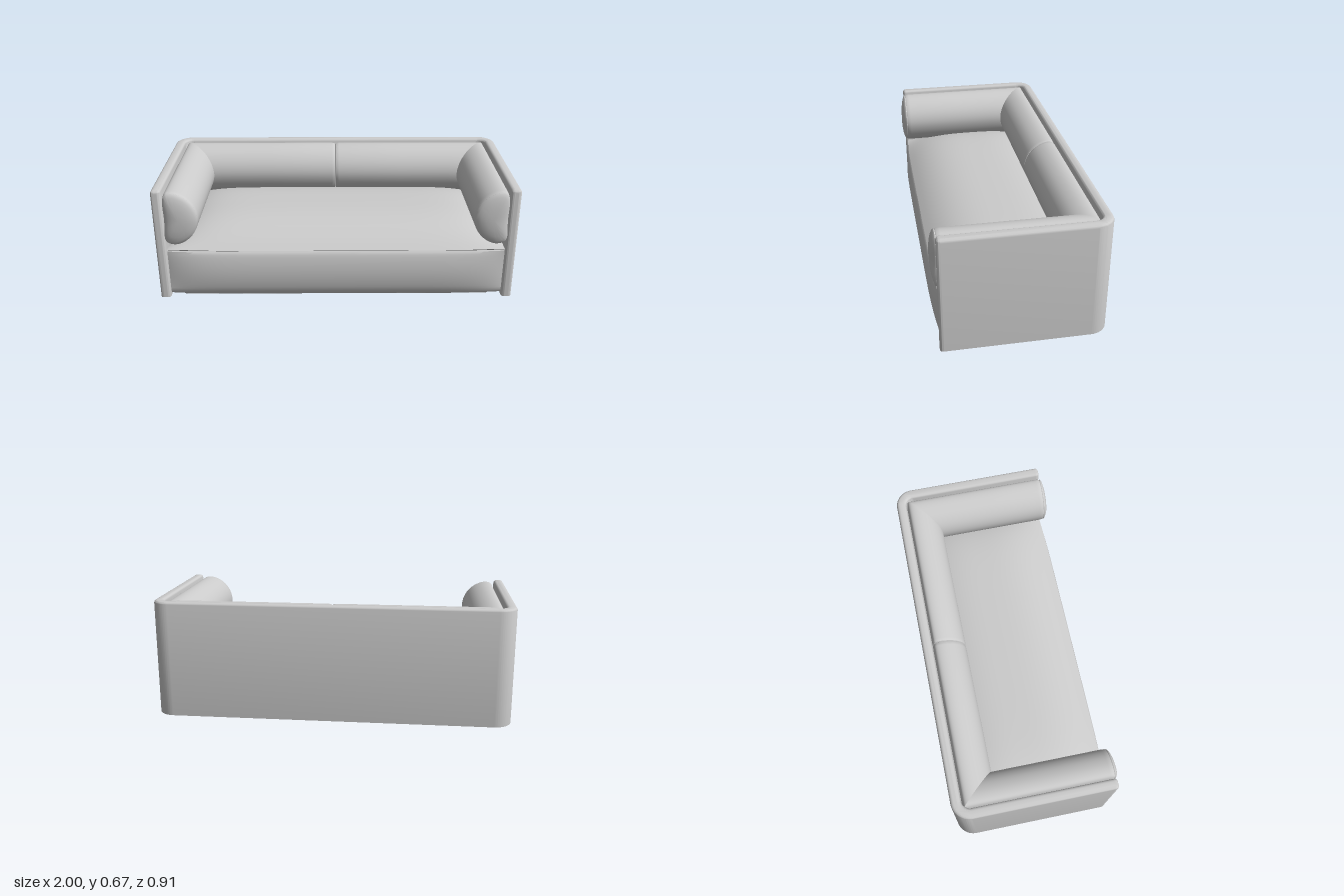
import * as THREE from 'three';
import { toCreasedNormals } from 'three/addons/utils/BufferGeometryUtils.js';

const grey = new THREE.MeshStandardMaterial({ color: 0xcccccc });

function addPart(group, name, geometry, crease = 0.6) {
  const mesh = new THREE.Mesh(toCreasedNormals(geometry, crease), grey);
  mesh.name = name;
  group.add(mesh);
  return mesh;
}

// Skins a row of closed rings, caps both ends, and turns the faces outward.
function loft(rings) {
  const n = rings[0].length, last = rings.length - 1;
  const points = rings.flat();
  const centre = ring => ring.reduce((s, p) => s.add(p), new THREE.Vector3()).divideScalar(n);
  const first = points.push(centre(rings[0])) - 1;
  const end = points.push(centre(rings[last])) - 1;
  const faces = [];
  for (let j = 0; j < n; j++) {
    const k = (j + 1) % n;
    for (let i = 0; i < last; i++) {
      const a = i * n + j, b = i * n + k;
      faces.push([a, a + n, b], [b, a + n, b + n]);
    }
    faces.push([first, j, k], [end, last * n + k, last * n + j]);
  }
  let volume = 0;
  const cross = new THREE.Vector3();
  for (const [a, b, c] of faces) volume += cross.crossVectors(points[b], points[c]).dot(points[a]);
  if (volume < 0) faces.forEach(f => f.reverse());
  const geometry = new THREE.BufferGeometry().setFromPoints(points);
  geometry.setIndex(faces.flat());
  geometry.computeVertexNormals();
  return geometry;
}

// U-shaped outer wall with rounded rear corners and a soft top edge.
function shellGeometry() {
  const s = new THREE.Shape();
  const front = -0.43, r = 0.02;
  s.moveTo(1, front + r);
  s.lineTo(1, 0.355);
  s.absarc(0.9, 0.355, 0.1, 0, Math.PI / 2);
  s.lineTo(-0.9, 0.455);
  s.absarc(-0.9, 0.355, 0.1, Math.PI / 2, Math.PI);
  s.lineTo(-1, front + r);
  s.quadraticCurveTo(-1, front, -1 + r, front);
  s.lineTo(-0.943 - r, front);
  s.quadraticCurveTo(-0.943, front, -0.943, front + r);
  s.lineTo(-0.943, 0.35);
  s.absarc(-0.893, 0.35, 0.05, Math.PI, Math.PI / 2, true);
  s.lineTo(0.893, 0.4);
  s.absarc(0.893, 0.35, 0.05, Math.PI / 2, 0, true);
  s.lineTo(0.943, front + r);
  s.quadraticCurveTo(0.943, front, 0.943 + r, front);
  s.lineTo(1 - r, front);
  s.quadraticCurveTo(1, front, 1, front + r);
  const bevel = 0.018, bottom = 0.015, height = 0.657;
  const g = new THREE.ExtrudeGeometry(s, {
    depth: height - 2 * bevel, bevelThickness: bevel, bevelSize: bevel,
    bevelOffset: -bevel, bevelSegments: 5, curveSegments: 14,
  });
  g.rotateX(-Math.PI / 2);
  g.translate(0, bottom + bevel, 0);
  // Flatten the lower bevel so the wall ends square.
  const p = g.attributes.position;
  for (let i = 0; i < p.count; i++) if (p.getY(i) < bottom + bevel + 0.001) p.setY(i, bottom);
  return g;
}

// Crowned seat block, lofted from side to side.
function seatGeometry() {
  const rings = [];
  for (let i = 0; i <= 56; i++) {
    const s = Math.sin((i / 56 - 0.5) * Math.PI);
    const edge = Math.abs(s) ** 8;
    const zf = 0.43 - 0.015 * edge;
    const ring = [];
    const add = (z, y) => ring.push(new THREE.Vector3(s * 0.94, y, z));
    for (let k = 0; k <= 28; k++) {
      const z = THREE.MathUtils.lerp(-0.39, zf, k / 28);
      add(z, 0.312 + 0.118 * (1 - edge) * (1 - Math.abs(z / 0.43) ** 3));
    }
    add(zf - 0.006, 0.307); // seam
    for (let k = 0; k <= 16; k++) {
      const t = k / 16;
      add(zf + 0.02 * (1 - edge) * Math.sin(Math.PI * t) ** 0.7, 0.302 - 0.247 * t);
    }
    add(zf - 0.008, 0.036);
    add(zf - 0.022, 0.026);
    add(zf - 0.045, 0.022);
    add(-0.39, 0.022);
    rings.push(ring);
  }
  return loft(rings);
}

// Bolster cross-section: x is the distance from the wall, y the height.
const bolsterProfile = new THREE.CatmullRomCurve3([
  [0, 0.37], [0.045, 0.35], [0.1, 0.365], [0.155, 0.415], [0.185, 0.5],
  [0.172, 0.57], [0.125, 0.63], [0.06, 0.66], [0.015, 0.655], [0, 0.62], [0, 0.5],
].map(([d, y]) => new THREE.Vector3(d, y, 0)), true).getPoints(56).slice(0, -1);

function bolsterRing(scale, place) {
  return bolsterProfile.map(p =>
    place(0.085 + (p.x - 0.085) * scale, 0.505 + (p.y - 0.505) * scale));
}

const WALL_X = 0.938, WALL_Z = -0.395;

// Arm bolster: puffed front end, mitred at the rear corner.
function armGeometry(side) {
  const stations = [[0.455, 0.15], [0.453, 0.4], [0.448, 0.65], [0.441, 0.83], [0.434, 0.94],
    [0.428, 0.975], [0.424, 0.965], [0.418, 0.99], [0.4, 1], [0.1, 1], [-0.15, 1]];
  const rings = stations.map(([z, k]) =>
    bolsterRing(k, (d, y) => new THREE.Vector3(side * (WALL_X - d), y, z)));
  rings.push(bolsterRing(1, (d, y) => new THREE.Vector3(side * (WALL_X - d), y, WALL_Z + d)));
  return loft(rings);
}

// Half of the back bolster: softened centre joint, mitred outer end.
function backGeometry(side) {
  const stations = [[0.002, 0.94], [0.004, 0.97], [0.01, 0.99], [0.022, 1], [0.4, 1], [0.7, 1]];
  const rings = stations.map(([x, k]) =>
    bolsterRing(k, (d, y) => new THREE.Vector3(side * x, y, WALL_Z + d)));
  rings.push(bolsterRing(1, (d, y) => new THREE.Vector3(side * (WALL_X - d), y, WALL_Z + d)));
  return loft(rings);
}

// Low rounded plinth under the seat.
function plinthGeometry() {
  const w = 0.885, back = 0.345, front = -0.37, r = 0.03, h = Math.PI / 2;
  const s = new THREE.Shape();
  s.absarc(w - r, back - r, r, 0, h);
  s.absarc(-w + r, back - r, r, h, 2 * h);
  s.absarc(-w + r, front + r, r, 2 * h, 3 * h);
  s.absarc(w - r, front + r, r, 3 * h, 4 * h);
  const g = new THREE.ExtrudeGeometry(s, {
    depth: 0.022, bevelThickness: 0.004, bevelSize: 0.004, bevelOffset: -0.004,
    bevelSegments: 3, curveSegments: 8,
  });
  g.rotateX(-Math.PI / 2);
  g.translate(0, 0.004, 0);
  return g;
}

export function createModel() {
  const sofa = new THREE.Group();
  sofa.name = 'sofa';
  addPart(sofa, 'outerShell', shellGeometry());
  addPart(sofa, 'basePlinth', plinthGeometry());
  addPart(sofa, 'seat', seatGeometry());
  for (const [side, label] of [[1, 'left'], [-1, 'right']]) {
    addPart(sofa, label + 'ArmBolster', armGeometry(side));
    addPart(sofa, label + 'BackBolster', backGeometry(side));
  }
  return sofa;
}
